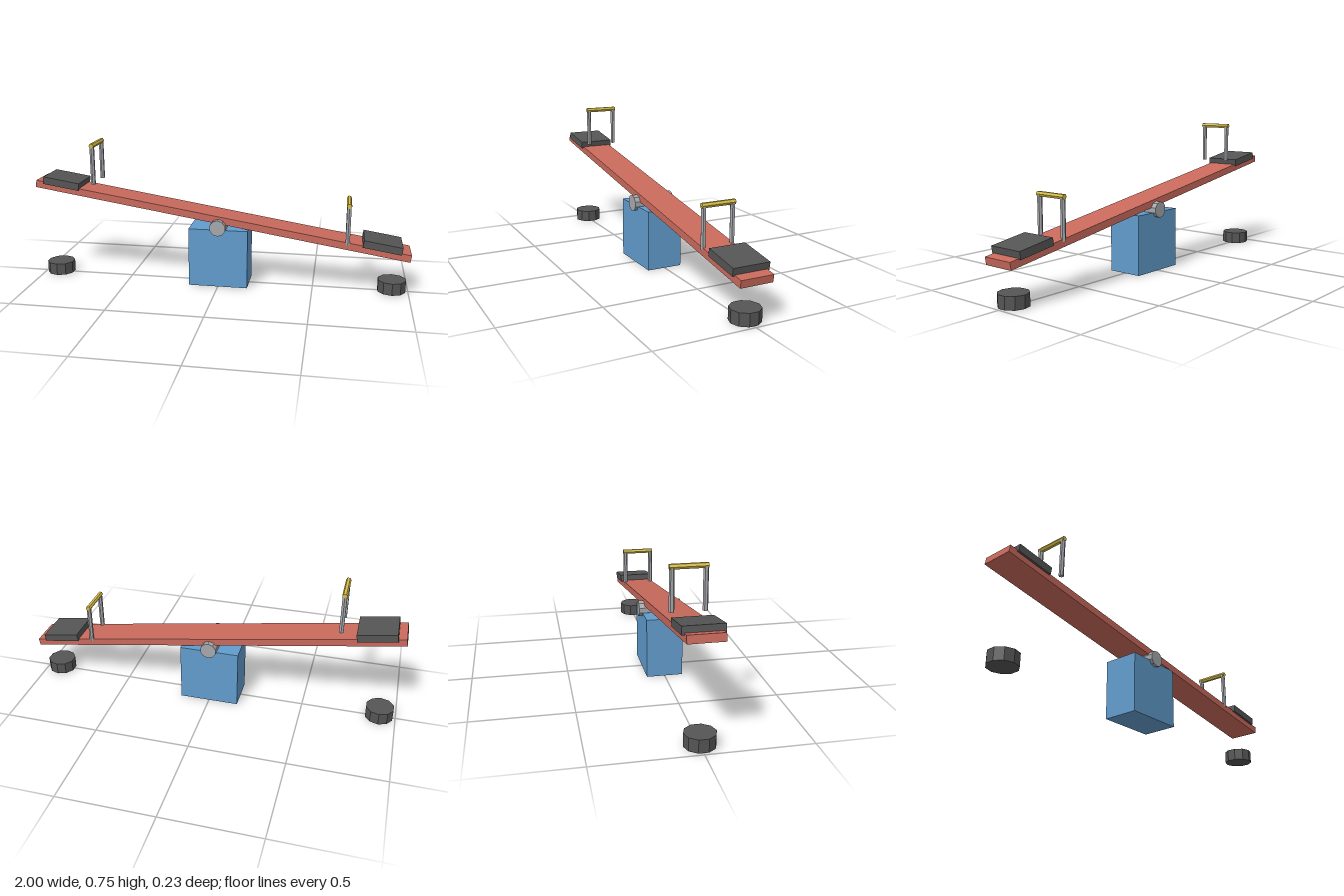
import * as THREE from 'three';

const TILT = -Math.PI / 20;

function material(name, color) {
  const m = new THREE.MeshStandardMaterial({ color });
  m.name = name;
  return m;
}

export function createModel() {
  const model = new THREE.Group();
  model.name = 'seesaw';

  const red = material('red paint', 0xc96a5c);
  const blue = material('blue paint', 0x629ccd);
  const rubber = material('dark rubber', 0x555555);
  const steel = material('grey steel', 0xa6a8ac);
  const yellow = material('yellow grip', 0xd6bc48);

  function add(parent, name, geometry, mat, x, y, z, tilt = 0) {
    // Unshared vertices give every facet its own normal
    const flat = geometry.toNonIndexed();
    flat.computeVertexNormals();
    const mesh = new THREE.Mesh(flat, mat);
    mesh.name = name;
    mesh.position.set(x, y, z);
    mesh.rotation.z = tilt;
    parent.add(mesh);
    return mesh;
  }

  // Support block and the pivot axle through its top
  add(model, 'base', new THREE.BoxGeometry(0.315, 0.316, 0.19), blue, 0, 0.158, 0);
  add(model, 'pivot', new THREE.CylinderGeometry(0.043, 0.043, 0.226, 10).rotateX(Math.PI / 2), steel, 0, 0.33, 0);

  // Tilted plank
  add(model, 'plank', new THREE.BoxGeometry(2.019, 0.038, 0.168), red, 0, 0.367, 0, TILT);

  for (const side of [-1, 1]) {
    const label = side > 0 ? 'left' : 'right';
    const drop = -side * 0.1335;

    add(model, label + 'Seat', new THREE.BoxGeometry(0.1995, 0.039, 0.19), rubber, side * 0.853, 0.3985 + drop, 0, TILT);

    // Upright handle: two posts and a crossbar
    const handle = new THREE.Group();
    handle.name = label + 'Handle';
    handle.position.set(side * 0.675, 0.3995 + drop, 0);
    model.add(handle);
    for (const z of [-0.077, 0.077]) {
      add(handle, 'post', new THREE.CylinderGeometry(0.0125, 0.0125, 0.203, 6), steel, 0, 0.1015, z);
    }
    const bar = new THREE.CylinderGeometry(0.0133, 0.0133, 0.178, 6, 1, false, Math.PI / 2);
    add(handle, 'crossbar', bar.rotateX(Math.PI / 2), yellow, 0, 0.2075, 0);

    // Landing tyre on the ground
    add(model, label + 'Bumper', new THREE.CylinderGeometry(0.075, 0.075, 0.064, 10), rubber, side * 0.914, 0.032, 0);
  }

  return model;
}
